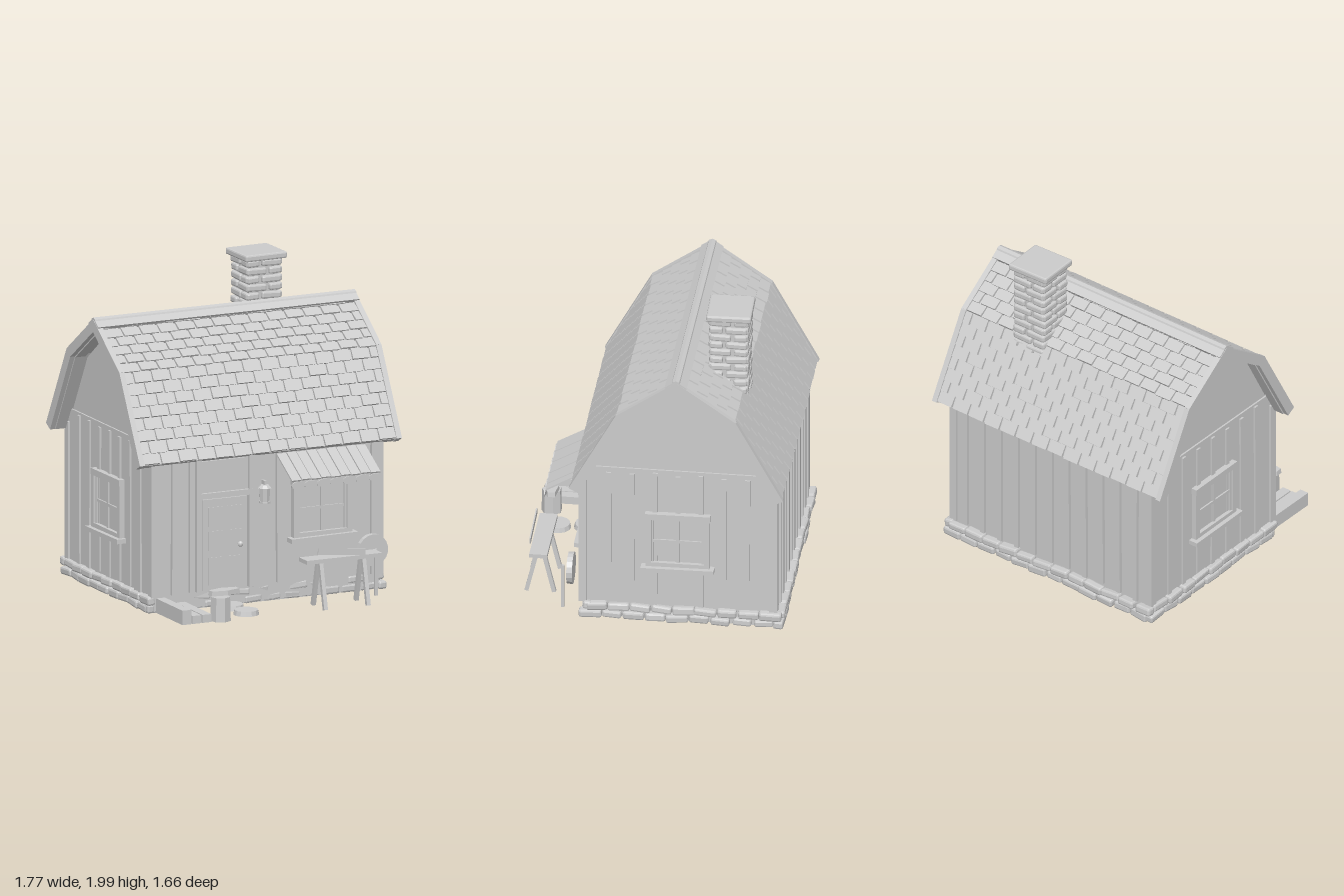
import * as THREE from 'three';
import { RoundedBoxGeometry } from 'three/addons/geometries/RoundedBoxGeometry.js';

const MAT = new THREE.MeshStandardMaterial({ color: 0xcccccc, flatShading: true, side: THREE.DoubleSide });
const CZ = -0.17; // middle of the house in depth

let seed = 7;
const rand = () => (seed = (seed * 16807) % 2147483647) / 2147483647;
const jit = (a) => (rand() - 0.5) * 2 * a;

function add(parent, name, geo, x = 0, y = 0, z = 0) {
  const m = new THREE.Mesh(geo, MAT);
  m.name = name;
  m.position.set(x, y, z);
  parent.add(m);
  return m;
}
const box = (p, name, w, h, d, x, y, z) => add(p, name, new THREE.BoxGeometry(w, h, d), x, y, z);
const stone = (p, name, w, h, d, x, y, z) =>
  add(p, name, new RoundedBoxGeometry(w, h, d, 1, Math.min(w, h, d) * 0.25), x, y, z);

function group(parent, name, x = 0, y = 0, z = 0, ry = 0) {
  const g = new THREE.Group();
  g.name = name;
  g.position.set(x, y, z);
  g.rotation.y = ry;
  parent.add(g);
  return g;
}

// Square bar between two points
function bar(parent, name, a, b, t) {
  const A = new THREE.Vector3(...a), B = new THREE.Vector3(...b);
  const m = box(parent, name, t, A.distanceTo(B), t, 0, 0, 0);
  m.position.copy(A).add(B).multiplyScalar(0.5);
  m.quaternion.setFromUnitVectors(new THREE.Vector3(0, 1, 0), B.sub(A).normalize());
  return m;
}

// Vertical battens on a wall facing local +z
function battens(wall, xs, y0, y1) {
  for (const x of xs) {
    const b = box(wall, 'batten', 0.032, y1 - y0 - rand() * 0.04, 0.022, x, (y0 + y1) / 2 - 0.01, 0.009);
    b.rotation.z = jit(0.006);
  }
}

// Four-pane window facing local +z, centred on its group
function addWindow(parent, name, x, y, z, ry) {
  const g = group(parent, name, x, y, z, ry);
  box(g, 'pane', 0.36, 0.34, 0.02, 0, 0, 0.01);
  for (const s of [-1, 1]) {
    box(g, 'frameSide', 0.035, 0.37, 0.045, s * 0.18, 0, 0.022);
    box(g, 'frameInner', 0.014, 0.32, 0.03, s * 0.155, 0, 0.018);
  }
  box(g, 'frameTop', 0.4, 0.04, 0.05, 0, 0.175, 0.024).rotation.z = 0.01;
  box(g, 'frameBottom', 0.38, 0.03, 0.045, 0, -0.16, 0.022);
  box(g, 'mullion', 0.018, 0.32, 0.03, 0, 0, 0.015);
  box(g, 'crossbar', 0.34, 0.018, 0.03, 0, 0, 0.015);
  box(g, 'sill', 0.45, 0.028, 0.075, 0, -0.185, 0.035).rotation.z = 0.012;
}

// One roof plane from lower (z0,y0) to upper (z1,y1), with shingles and rake boards
function roofPlane(half, z0, y0, z1, y1, rows) {
  const L = Math.hypot(z1 - z0, y1 - y0), g = group(half, 'roofPlane', 0, y0, z0);
  g.rotation.x = Math.atan2(z1 - z0, y1 - y0);
  box(g, 'roofDeck', 1.72, L, 0.03, 0, L / 2, -0.025);
  const step = L / rows, n = 14, edge = 0.86, w = (2 * edge) / n;
  for (let r = 0; r < rows; r++) {
    for (let i = 0; i <= n; i++) {
      const left = -edge + (i - (r % 2) * 0.5) * w;
      const a = Math.max(-edge, left), b = Math.min(edge, left + w);
      if (b - a < 0.02) continue;
      const h = step * (1 + jit(0.06));
      const s = box(g, 'shingle', b - a - 0.016, h, 0.018, (a + b) / 2, (r + 1) * step - h / 2, -0.004);
      s.rotation.x = -0.1;
      s.rotation.z = jit(0.012);
    }
  }
  for (const s of [-1, 1]) {
    box(g, 'rakeBoard', 0.035, L + 0.01, 0.065, s * 0.87, L / 2, -0.02);
    box(g, 'rakeLining', 0.07, L, 0.02, s * 0.82, L / 2, -0.05);
  }
}

function buildWalls(house) {
  const outline = new THREE.Shape();
  [[-0.59, 0.02], [0.6, 0.02], [0.6, 0.95], [0.34, 1.42], [0, 1.67], [-0.34, 1.42], [-0.59, 0.95]]
    .forEach(([x, y], i) => (i ? outline.lineTo(x, y) : outline.moveTo(x, y)));
  outline.closePath();
  const body = new THREE.ExtrudeGeometry(outline, { depth: 1.52, bevelEnabled: false });
  body.translate(0, 0, -0.76);
  add(house, 'wallsAndGables', body, 0, 0, CZ).rotation.y = Math.PI / 2;

  const front = group(house, 'frontWall', 0, 0, 0.423);
  battens(front, [-0.63, -0.51, -0.08, 0.08, 0.72], 0.12, 0.96);
  const back = group(house, 'backWall', 0, 0, -0.77, Math.PI);
  battens(back, Array.from({ length: 11 }, (_, i) => -0.66 + i * 0.132), 0.12, 0.96);
  for (const s of [-1, 1]) {
    const side = group(house, 'sideWall', s * 0.763, 0, CZ, s * Math.PI / 2);
    box(side, 'sideBoards', 1.18, 0.95, 0.016, 0, 0.58, 0);
    battens(side, [-3, -2, -1, 0, 1, 2, 3].map((i) => i * 0.142), 0.12, 1.05);
    for (const z of [0.415, -0.757]) box(house, 'cornerPost', 0.05, 0.86, 0.05, s * 0.76, 0.54, z);
    addWindow(house, 'sideWindow', s * 0.76, 0.57, CZ, s * Math.PI / 2);
  }
  addWindow(house, 'frontWindow', 0.365, 0.57, 0.422, 0);
}

function buildFoundation(house) {
  const g = group(house, 'foundation');
  box(g, 'foundationCore', 1.54, 0.11, 1.18, 0, 0.065, CZ - 0.01);
  // [length, distance out, turn] for each side
  for (const [len, out, ry] of [[1.58, 0.578, 0], [1.58, 0.608, Math.PI], [1.2, 0.778, Math.PI / 2], [1.2, 0.778, -Math.PI / 2]]) {
    const side = group(g, 'stoneCourse', 0, 0, CZ - 0.015, ry);
    const n = Math.round(len / 0.13), w = len / n;
    for (let r = 0; r < 2; r++) for (let i = 0; i < n; i++) {
      const st = stone(side, 'foundationStone', w - 0.006 + jit(0.015), 0.05 + jit(0.006), 0.055 + jit(0.01),
        -len / 2 + (i + 0.5) * w + (r ? 0.02 : -0.02), 0.036 + r * 0.052, out + jit(0.006));
      st.rotation.set(jit(0.12), jit(0.06), jit(0.08));
    }
  }
}

function buildRoof(house) {
  for (const ry of [0, Math.PI]) {
    const half = group(house, 'roofHalf', 0, 0, CZ, ry);
    roofPlane(half, 0.645, 0.955, 0.36, 1.475, 8);
    roofPlane(half, 0.36, 1.475, 0, 1.725, 6);
    box(half, 'ridgeBoard', 1.77, 0.07, 0.02, 0, 1.715, 0.034).rotation.x = -0.964;
  }
  // rounded ridge beam
  const ridge = add(house, 'ridgeBeam', new THREE.CylinderGeometry(0.03, 0.03, 1.77, 8), 0, 1.722, CZ);
  ridge.rotation.z = Math.PI / 2;
}

function buildChimney(house) {
  const g = group(house, 'chimney', 0.35, 0, -0.44);
  box(g, 'chimneyCore', 0.2, 0.6, 0.2, 0, 1.66, 0);
  for (let r = 0; r < 11; r++) for (let k = 0; k < 4; k++) {
    const face = group(g, 'brickFace', 0, 1.425 + r * 0.0512, 0, k * Math.PI / 2);
    // alternating long and short bricks
    const [a, b] = (r + k) % 2 ? [0.14, 0.09] : [0.09, 0.14];
    stone(face, 'brick', a - 0.01, 0.043, 0.045, -0.12 + a / 2, 0, 0.099 + jit(0.004)).rotation.z = jit(0.05);
    stone(face, 'brick', b - 0.01, 0.043, 0.045, 0.118 - b / 2, 0, 0.099 + jit(0.004)).rotation.z = jit(0.05);
  }
  stone(g, 'chimneyCap', 0.285, 0.042, 0.275, 0, 1.977, 0).rotation.y = 0.03;
}

function buildDoor(house) {
  const g = group(house, 'door', -0.29, 0, 0.422);
  box(g, 'doorSlab', 0.3, 0.57, 0.025, 0, 0.405, 0.006);
  for (const s of [-1, 1]) {
    box(g, 'doorJamb', 0.035, 0.83, 0.045, s * 0.178, 0.535, 0.01);
    for (const [y, h] of [[0.58, 0.12], [0.43, 0.12], [0.24, 0.17]])
      box(g, 'doorPanel', 0.095, h, 0.016, s * 0.065, y, 0.015);
  }
  box(g, 'doorLintel', 0.37, 0.035, 0.045, 0, 0.715, 0.012);
  box(g, 'transom', 0.32, 0.2, 0.02, 0, 0.83, 0.004);
  add(g, 'doorKnob', new THREE.SphereGeometry(0.018, 8, 6), 0.1, 0.395, 0.032);
  // wall lantern beside the door
  const l = group(house, 'lantern', -0.025, 0.69, 0.452);
  add(l, 'lanternGlass', new THREE.CylinderGeometry(0.036, 0.03, 0.09, 8), 0, -0.005, 0);
  add(l, 'lanternRoof', new THREE.CylinderGeometry(0.024, 0.045, 0.02, 8), 0, 0.05, 0);
  add(l, 'lanternBase', new THREE.CylinderGeometry(0.036, 0.036, 0.012, 8), 0, -0.05, 0);
  box(l, 'lanternHook', 0.014, 0.025, 0.05, 0, 0.072, -0.015);
}

function buildAwning(house) {
  const g = group(house, 'awning', 0.36, 0.865, 0.55);
  for (let i = 0; i < 9; i++) {
    const x = (i - 4) * 0.067;
    box(g, 'awningSlat', 0.062, 0.01, 0.25, x, i % 2 ? 0.003 : 0, 0).rotation.x = 0.52;
  }
  for (let i = 0; i < 7; i++) {
    const f = add(g, 'awningScallop', new THREE.CylinderGeometry(0.046, 0.046, 0.008, 12), (i - 3) * 0.087, -0.09, 0.115);
    f.rotation.x = Math.PI / 2;
    f.scale.z = 0.55;
  }
}

function buildYard(house) {
  // sawhorse table
  const t = group(house, 'workTable');
  box(t, 'tableTop', 0.51, 0.025, 0.11, 0.365, 0.31, 0.71);
  for (const x of [0.22, 0.51]) for (const s of [-1, 1])
    bar(t, 'tableLeg', [x, 0.3, 0.71 + s * 0.015], [x, 0.01, 0.71 + s * 0.085], 0.025);
  bar(t, 'sawBlade', [0.18, 0.375, 0.775], [0.5, 0.345, 0.775], 0.04).scale.z = 0.2;
  // round board and its stake
  add(house, 'roundBoard', new THREE.CylinderGeometry(0.1, 0.1, 0.035, 18), 0.68, 0.28, 0.5).rotation.x = Math.PI / 2;
  box(house, 'stake', 0.018, 0.29, 0.018, 0.68, 0.15, 0.55);
  // timbers laid beside the house, the outer one taller
  for (const [x, h] of [[-0.72, 0.09], [-0.652, 0.05], [-0.584, 0.05]])
    box(house, 'timber', 0.06, h, 0.37, x, 0.015 + h / 2, 0.615);
  // chopping stump with a flat slab of wood on it
  add(house, 'stump', new THREE.CylinderGeometry(0.06, 0.064, 0.15, 7), -0.475, 0.085, 0.765);
  const slab = add(house, 'splitWood', new THREE.CylinderGeometry(0.11, 0.115, 0.03, 6), -0.45, 0.187, 0.762);
  slab.scale.z = 0.4;
  slab.rotation.y = 0.08;
  // stepping stones
  for (const [x, z, r] of [[-0.29, 0.52, 0.085], [-0.27, 0.7, 0.08]])
    add(house, 'steppingStone', new THREE.CylinderGeometry(r * 0.92, r, 0.03, 14), x, 0.03, z);
}

export function createModel() {
  seed = 7;
  const house = new THREE.Group();
  house.name = 'cottage';
  [buildFoundation, buildWalls, buildRoof, buildChimney, buildDoor, buildAwning, buildYard].forEach((f) => f(house));
  return house;
}
